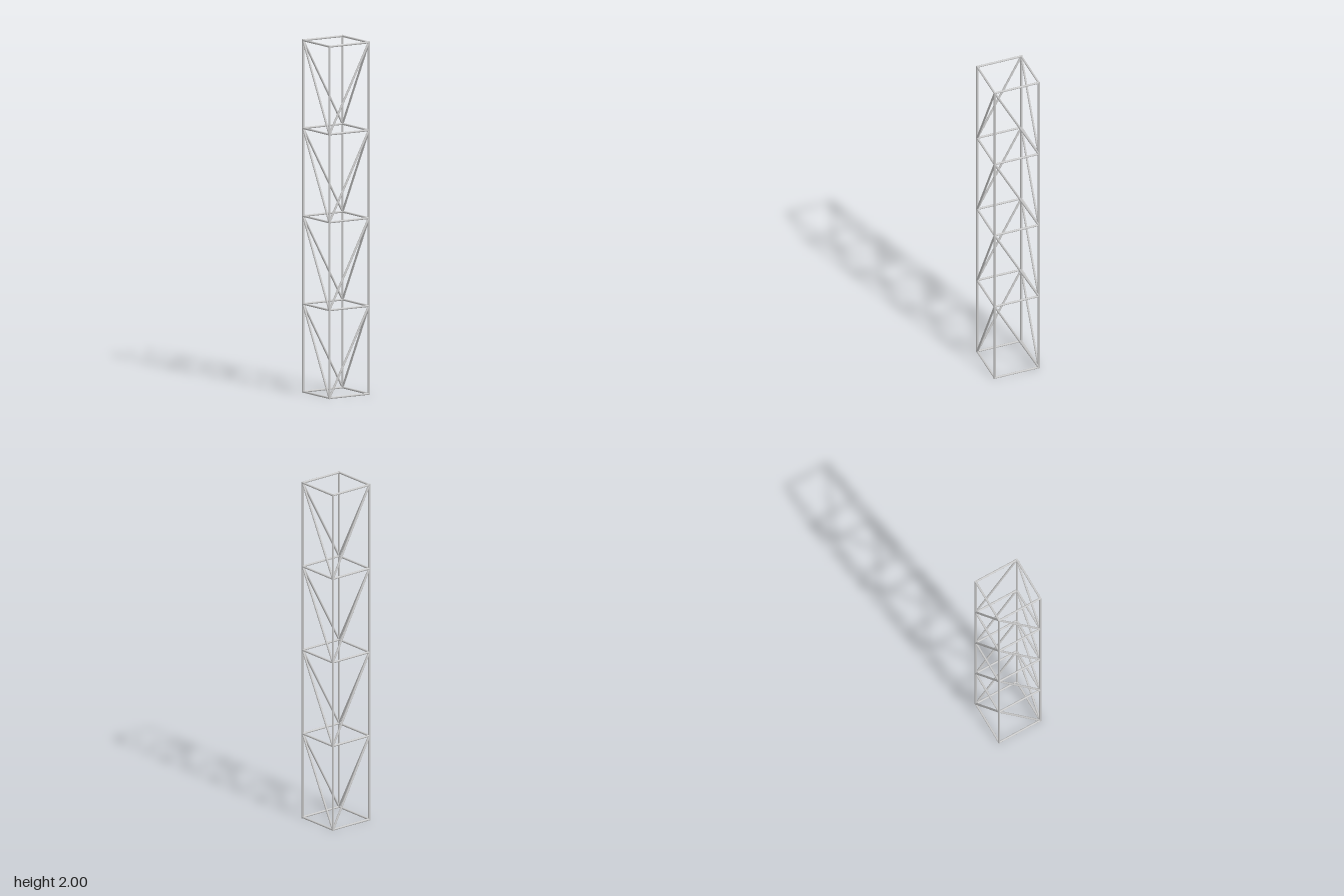
import * as THREE from 'three';

const HALF = 0.132;    // post centre distance from the axis
const R = 0.006;       // tube radius
const BAYS = 4;
const BAY_HEIGHT = (2 - 2 * R) / BAYS;

export function createModel() {
  const tower = new THREE.Group();
  tower.name = 'trussTower';
  const material = new THREE.MeshStandardMaterial({ color: 0xcccccc });
  const up = new THREE.Vector3(0, 1, 0);

  // Round bar between two points
  function bar(name, a, b) {
    const dir = b.clone().sub(a);
    const mesh = new THREE.Mesh(new THREE.CylinderGeometry(R, R, dir.length(), 12), material);
    mesh.position.copy(a).lerp(b, 0.5);
    mesh.quaternion.setFromUnitVectors(up, dir.normalize());
    mesh.name = name;
    tower.add(mesh);
  }

  // Corners in order around the square; even ones carry the high diagonal ends
  const corners = [[1, 1], [1, -1], [-1, -1], [-1, 1]];
  const at = (i, y) => {
    const [x, z] = corners[i % 4];
    return new THREE.Vector3(x * HALF, y, z * HALF);
  };

  for (let i = 0; i < 4; i++) {
    // Corner post
    bar('cornerPost', at(i, 0), at(i, 2));

    // Horizontal rails at every level
    for (let level = 0; level <= BAYS; level++) {
      const y = R + level * BAY_HEIGHT;
      bar('rail', at(i, y), at(i + 1, y));
    }

    // One diagonal brace per bay on this side
    for (let bay = 0; bay < BAYS; bay++) {
      const low = R + bay * BAY_HEIGHT;
      const high = low + BAY_HEIGHT;
      const even = i % 2 === 0;
      bar('diagonalBrace', at(i, even ? high : low), at(i + 1, even ? low : high));
    }
  }
  return tower;
}
